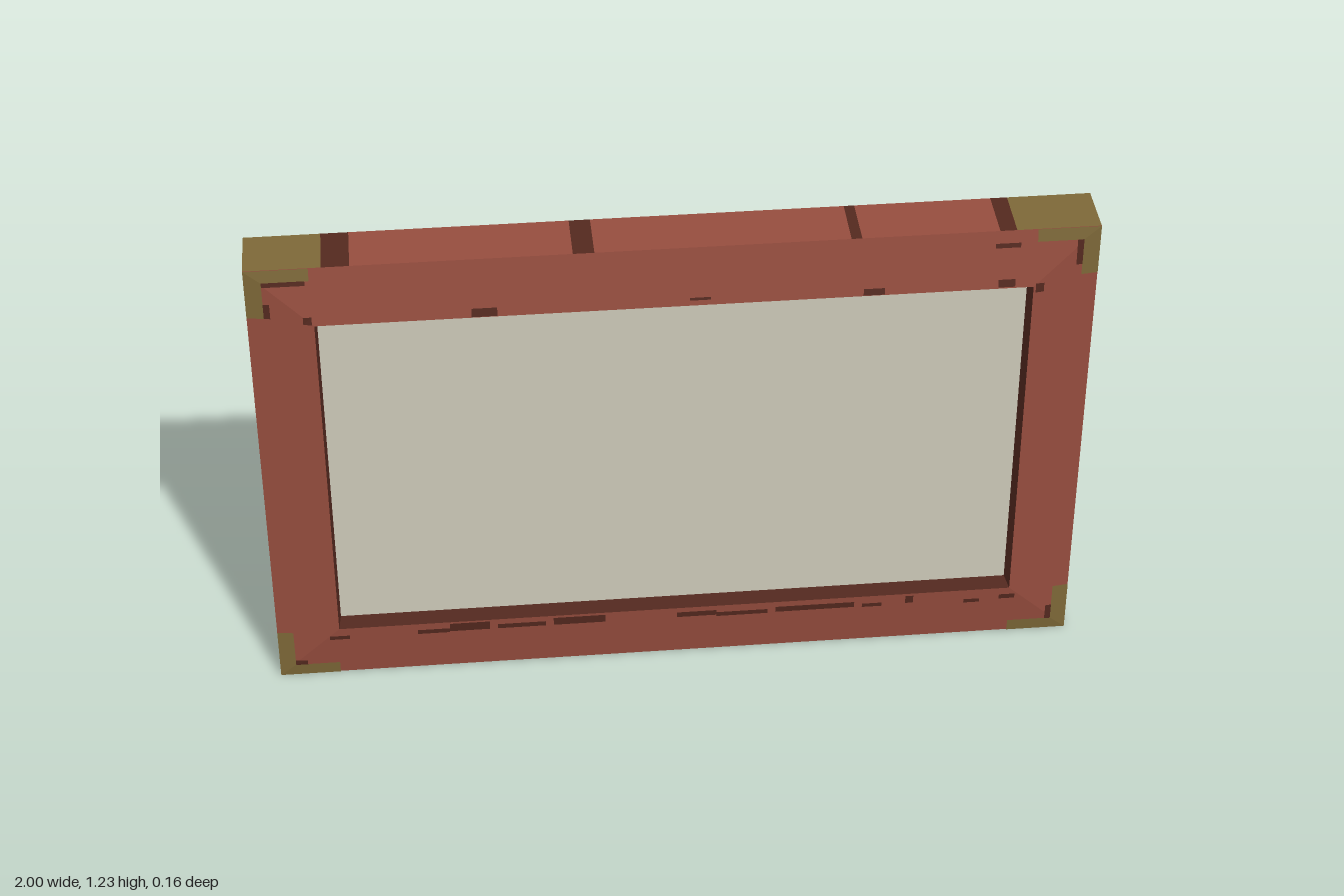
import * as THREE from 'three';

const H = 1.23, BACK = -0.08, RIM = 0.06, LIP = 0.08, CANVAS_Z = 0.03;
const IN = { x: 0.845, y0: 0.155, y1: 1.08 };

const mat = (name, color) => {
  const m = new THREE.MeshStandardMaterial({ color });
  m.name = name;
  return m;
};

// Height of the sloping frame front at a point
const bevel = (x, y) => RIM + (LIP - RIM) * Math.min(
  (1 - Math.abs(x)) / (1 - IN.x), y / IN.y0, (H - y) / (H - IN.y1), 1);

// Mesh of four-cornered faces, each turned to face the direction "out"
function faces(name, material, quads) {
  const pos = [];
  for (const { p, out } of quads) {
    const v = p.map((a) => new THREE.Vector3(...a));
    const n = v[2].clone().sub(v[0]).cross(v[3].clone().sub(v[1]));
    if (n.dot(new THREE.Vector3(...out)) < 0) v.reverse();
    for (const i of [0, 1, 2, 0, 2, 3]) pos.push(v[i].x, v[i].y, v[i].z);
  }
  const g = new THREE.BufferGeometry();
  g.setAttribute('position', new THREE.Float32BufferAttribute(pos, 3));
  g.computeVertexNormals();
  const mesh = new THREE.Mesh(g, material);
  mesh.name = name;
  return mesh;
}

export function createModel() {
  const group = new THREE.Group();
  group.name = 'framedCanvas';
  const red = mat('redWood', 0x964d3e);
  const dark = mat('darkWood', 0x54291f);
  const olive = mat('agedBrass', 0x7d6838);
  const cream = mat('creamCanvas', 0xcdc9b9);
  const add = (...a) => group.add(faces(...a));
  const front = [0, 0, 1];

  // Backing board
  add('backBoard', olive, [{
    p: [[-1, 0, BACK], [1, 0, BACK], [1, H, BACK], [-1, H, BACK]], out: [0, 0, -1] }]);

  // Outer edges: colour bands as [start, material] along each edge
  const edge = (name, at, out, bands, end) => bands.forEach(([a, m], i) => {
    const b = i + 1 < bands.length ? bands[i + 1][0] : end;
    add(name, m, [{ p: [at(a, BACK), at(b, BACK), at(b, RIM), at(a, RIM)], out }]);
  });
  edge('topEdge', (t, z) => [t, H, z], [0, 1, 0], [
    [-1, olive], [-0.82, dark], [-0.755, red], [-0.24, dark], [-0.19, red],
    [0.41, dark], [0.435, red], [0.76, dark], [0.8, olive]], 1);
  edge('bottomEdge', (t, z) => [t, 0, z], [0, -1, 0],
    [[-1, olive], [-0.8, red], [0.7, dark], [0.73, olive]], 1);
  edge('leftEdge', (t, z) => [1, t, z], [1, 0, 0],
    [[0, olive], [0.15, red], [1.09, dark], [1.105, olive]], H);
  edge('rightEdge', (t, z) => [-1, t, z], [-1, 0, 0],
    [[0, olive], [0.15, red], [1.07, dark], [1.2, olive]], H);

  // Mitred front rails and recessed inner walls
  const ring = (x, y0, y1, z) => [[-x, y0, z], [x, y0, z], [x, y1, z], [-x, y1, z]];
  const outer = ring(1, 0, H, RIM);
  const lip = ring(IN.x, IN.y0, IN.y1, LIP);
  const inner = ring(0.84, IN.y0, IN.y1, CANVAS_Z);
  const inward = [[0, 1, 0], [-1, 0, 0], [0, -1, 0], [1, 0, 0]];
  ['bottom', 'left', 'top', 'right'].forEach((side, i) => {
    const j = (i + 1) % 4;
    add(side + 'Rail', red, [{ p: [outer[i], outer[j], lip[j], lip[i]], out: front }]);
    add(side + 'InnerWall', dark, [{ p: [lip[i], lip[j], inner[j], inner[i]], out: inward[i] }]);
  });
  add('canvas', cream, [{ p: inner, out: front }]);

  // Thin patches lying on the sloped front
  const patch = (pts, lift) => ({ p: pts.map(([x, y]) => [x, y, bevel(x, y) + lift]), out: front });

  // Brass corner mounts: two mitred legs each
  for (const s of [-1, 1]) {
    for (const [y, d, len, tall] of [[0, 1, 0.035, 0.14], [H, -1, 0.032, 0.13]]) {
      add('cornerMount', olive, [
        patch([[s, y], [s * 0.85, y], [s * 0.85, y + d * len], [s * 0.96, y + d * len]], 0.002),
        patch([[s, y], [s * 0.96, y + d * len], [s * 0.96, y + d * tall], [s, y + d * tall]], 0.002)]);
    }
  }

  // Worn dark marks: x0, x1, y0, y1
  const marks = [
    [-0.96, -0.86, 1.187, 1.199], [-0.96, -0.945, 1.1, 1.14], [-0.87, -0.85, 1.085, 1.105],
    [-0.48, -0.42, 1.083, 1.105], [0.44, 0.49, 1.083, 1.1], [0.03, 0.08, 1.095, 1.102],
    [0.76, 0.8, 1.085, 1.105], [0.75, 0.81, 1.187, 1.199], [0.945, 0.96, 1.13, 1.199],
    [0.85, 0.87, 1.065, 1.09], [-0.96, -0.93, 0.035, 0.05], [0.945, 0.96, 0.035, 0.08],
    [-0.87, -0.82, 0.12, 0.132], [0.82, 0.86, 0.12, 0.135], [0.73, 0.77, 0.113, 0.125],
    [-0.65, -0.57, 0.122, 0.136], [-0.57, -0.47, 0.125, 0.152], [-0.45, -0.33, 0.125, 0.14],
    [-0.31, -0.18, 0.125, 0.15], [0, 0.1, 0.125, 0.142], [0.1, 0.23, 0.12, 0.134],
    [0.25, 0.45, 0.122, 0.14], [0.47, 0.52, 0.12, 0.132], [0.58, 0.6, 0.125, 0.15]];
  add('wornMarks', dark, marks.map(([a, b, c, d]) => patch([[a, c], [b, c], [b, d], [a, d]], 0.003)));

  return group;
}
